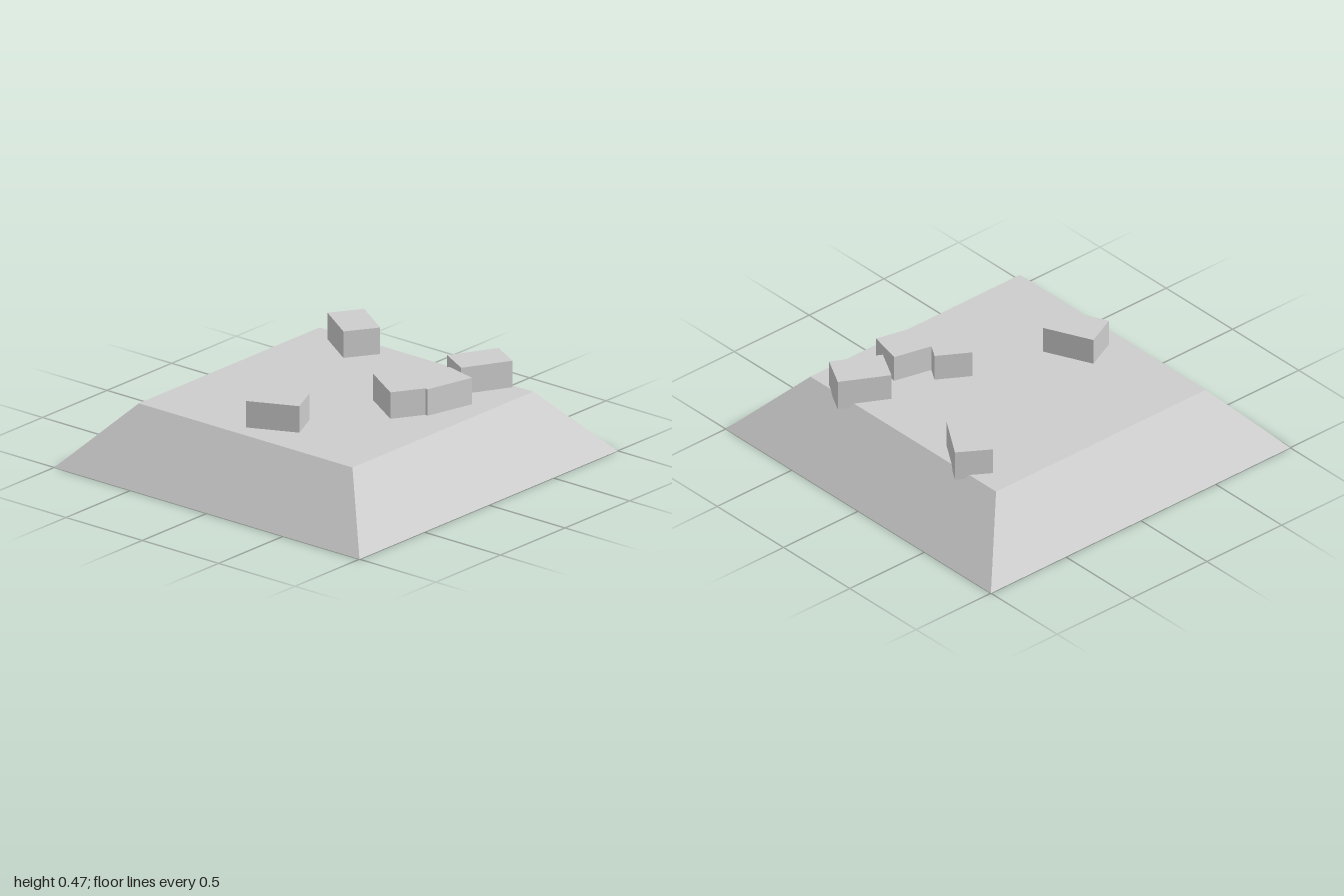
import * as THREE from 'three';

export function createModel() {
  const model = new THREE.Group();
  const stone = new THREE.MeshStandardMaterial({ color: 0xcccccc });
  stone.name = 'greyStone';

  // Sloped base: a box whose upper corners are pulled inwards
  const baseHeight = 0.33;
  const baseGeometry = new THREE.BoxGeometry(2, baseHeight, 2);
  const corners = baseGeometry.attributes.position;
  for (let i = 0; i < corners.count; i++) {
    if (corners.getY(i) > 0) {
      corners.setX(i, corners.getX(i) * 0.7);
      corners.setZ(i, corners.getZ(i) * 0.7);
    }
  }
  baseGeometry.translate(0, baseHeight / 2, 0);
  baseGeometry.computeVertexNormals();
  const base = new THREE.Mesh(baseGeometry, stone);
  base.name = 'slopedBase';
  model.add(base);

  // Equal blocks scattered on the platform, sunk slightly into it: x, z, turn
  const blockGeometry = new THREE.BoxGeometry(0.276, 0.163, 0.192);
  const placements = [
    [0.605, -0.395, 0.995],
    [-0.467, 0.015, -1.14],
    [0.1, 0.335, 1.02],
    [0.255, 0.455, -0.236],
    [0.606, 0.43, -0.496],
  ];
  placements.forEach(([x, z, turn], i) => {
    const block = new THREE.Mesh(blockGeometry, stone);
    block.name = `block${i + 1}`;
    block.position.set(x, 0.39, z);
    block.rotation.y = turn;
    model.add(block);
  });

  return model;
}
